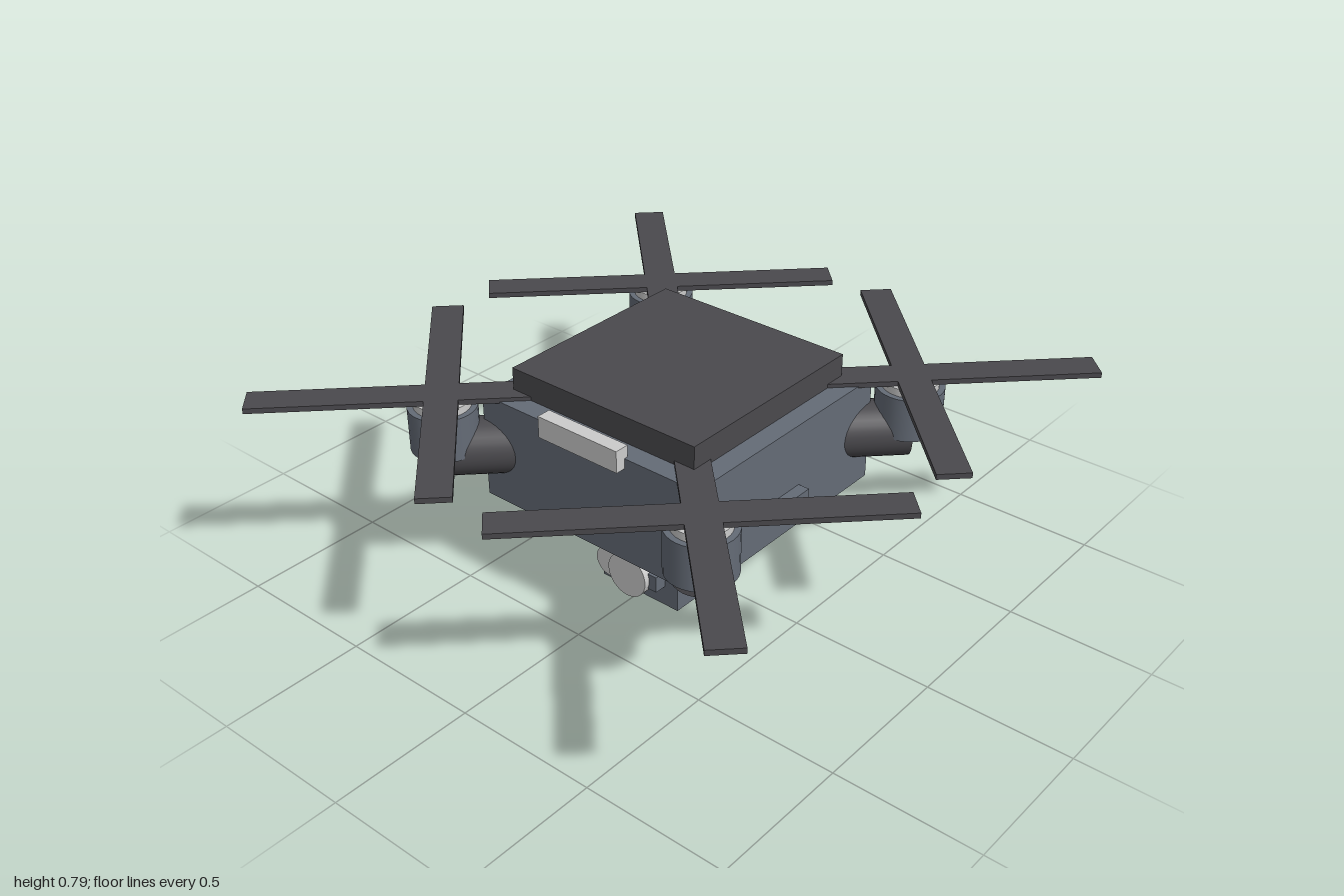
import * as THREE from 'three';

const mat = (color) => new THREE.MeshStandardMaterial({ color });
const slate = mat(0x646b76), dark = mat(0x4a494d), light = mat(0xd8dadc);

function add(parent, name, geometry, material, x, y, z) {
  const mesh = new THREE.Mesh(geometry, material);
  mesh.name = name;
  mesh.position.set(x, y, z);
  parent.add(mesh);
  return mesh;
}

// box given by its limits on each axis
function box(parent, name, material, [x0, x1], [y0, y1], [z0, z1]) {
  return add(parent, name, new THREE.BoxGeometry(x1 - x0, y1 - y0, z1 - z0), material,
    (x0 + x1) / 2, (y0 + y1) / 2, (z0 + z1) / 2);
}

const cylinder = (r, h) => new THREE.CylinderGeometry(r, r, h, 32);

// arm, motor and crossed blades, pointing along the +x +z diagonal
function rotorUnit(name, sx, sz) {
  const unit = new THREE.Group();
  unit.name = name;
  const c = 0.53;

  const arm = add(unit, 'arm', cylinder(0.095, 0.24), dark, sx * 0.445, 0.515, sz * 0.445);
  arm.quaternion.setFromUnitVectors(new THREE.Vector3(0, 1, 0),
    new THREE.Vector3(sx, 0, sz).normalize());

  add(unit, 'motor', cylinder(0.113, 0.15), slate, sx * c, 0.595, sz * c);
  add(unit, 'motorCap', cylinder(0.093, 0.026), light, sx * c, 0.683, sz * c);

  for (const angle of [Math.PI / 4, -Math.PI / 4]) {
    const blade = add(unit, 'blade', new THREE.BoxGeometry(1.22, 0.018, 0.108), dark,
      sx * c, 0.704, sz * c);
    blade.rotation.y = angle;
  }
  return unit;
}

export function createModel() {
  const model = new THREE.Group();
  model.name = 'quadcopter';

  // hull with lid, front light and side switch
  box(model, 'hull', slate, [-0.44, 0.44], [0.33, 0.7], [-0.44, 0.44]);
  box(model, 'lid', dark, [-0.37, 0.37], [0.7, 0.79], [-0.37, 0.37]);
  box(model, 'frontLight', light, [-0.16, 0.16], [0.665, 0.74], [0.425, 0.475]);
  box(model, 'sideSwitch', slate, [0.42, 0.48], [0.415, 0.48], [-0.06, 0.063]);

  // four rotor units
  for (const sx of [1, -1]) for (const sz of [1, -1]) {
    model.add(rotorUnit((sz > 0 ? 'front' : 'back') + (sx > 0 ? 'Left' : 'Right') + 'Rotor', sx, sz));
  }

  // gimbal under the hull
  const gimbal = new THREE.Group();
  gimbal.name = 'gimbal';
  model.add(gimbal);
  box(gimbal, 'mountPlate', light, [-0.305, 0.305], [0.305, 0.333], [-0.24, 0.24]);
  add(gimbal, 'turret', cylinder(0.19, 0.17), slate, 0, 0.22, 0);
  for (const s of [1, -1]) {
    add(gimbal, 'pivotPin', cylinder(0.032, 0.05), light, s * 0.18, 0.255, 0).rotation.z = Math.PI / 2;
  }

  // camera with two lenses and a sensor block
  box(gimbal, 'cameraHousing', slate, [-0.163, 0.163], [0, 0.205], [-0.06, 0.2]);
  add(gimbal, 'mainLens', cylinder(0.08, 0.085), light, 0, 0.105, 0.2225).rotation.x = Math.PI / 2;
  add(gimbal, 'smallLens', cylinder(0.055, 0.06), light, -0.095, 0.105, 0.215).rotation.x = Math.PI / 2;
  box(gimbal, 'sensor', slate, [0.05, 0.11], [0.075, 0.133], [0.18, 0.245]);

  return model;
}
